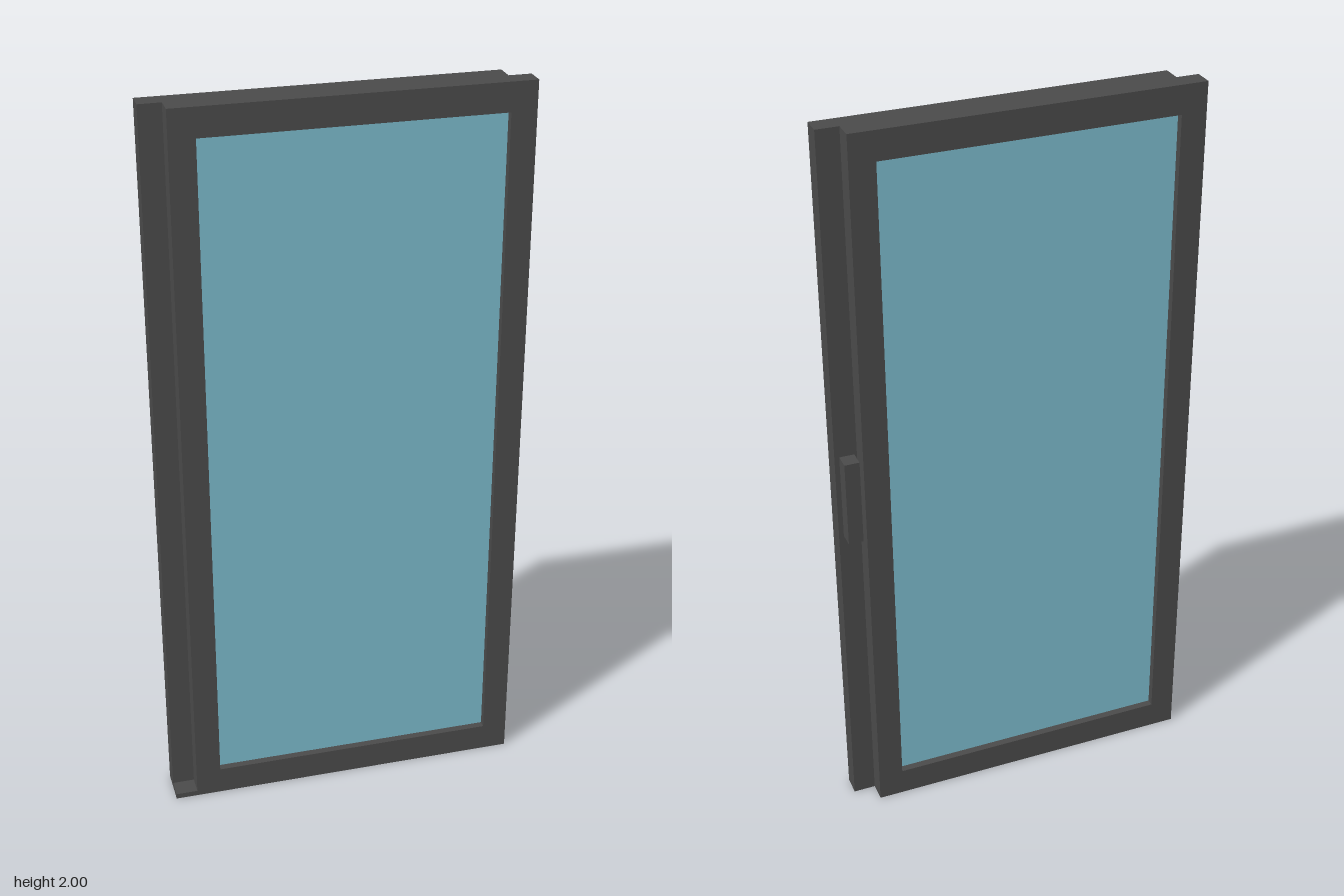
import * as THREE from 'three';

const DEPTH = 0.053;   // thickness of one sash
const HEIGHT = 2;
const SASH_W = 0.92;
const OFFSET = 0.03;   // sideways shift of each sash
const BORDER_X = 0.068;
const BORDER_Y = 0.077;

const frameMat = new THREE.MeshStandardMaterial({ color: 0x4a4a4a });
frameMat.name = 'dark grey frame';
const glassMat = new THREE.MeshStandardMaterial({ color: 0x7cbbcd });
glassMat.name = 'blue glass';

// Box given by its min and max corners
function box(name, mat, [x0, y0, z0], [x1, y1, z1]) {
  const mesh = new THREE.Mesh(new THREE.BoxGeometry(x1 - x0, y1 - y0, z1 - z0), mat);
  mesh.position.set((x0 + x1) / 2, (y0 + y1) / 2, (z0 + z1) / 2);
  mesh.name = name;
  return mesh;
}

function rectangle(PathType, x, y) {
  return new PathType([[-x, -y], [x, -y], [x, y], [-x, y]].map(p => new THREE.Vector2(...p)));
}

// A rectangular frame with a pane set into the middle of its depth
function createSash(name) {
  const sash = new THREE.Group();
  sash.name = name;
  const innerX = SASH_W / 2 - BORDER_X;
  const innerY = HEIGHT / 2 - BORDER_Y;
  const shape = rectangle(THREE.Shape, SASH_W / 2, HEIGHT / 2);
  shape.holes.push(rectangle(THREE.Path, innerX, innerY));
  const frame = new THREE.Mesh(
    new THREE.ExtrudeGeometry(shape, { depth: DEPTH, bevelEnabled: false }), frameMat);
  frame.position.set(0, HEIGHT / 2, 0);
  frame.name = 'sashFrame';
  sash.add(frame);
  sash.add(box('glassPane', glassMat,
    [-innerX, BORDER_Y, 0.02], [innerX, HEIGHT - BORDER_Y, 0.033]));
  return sash;
}

export function createModel() {
  const model = new THREE.Group();
  model.name = 'slidingWindow';

  // Two sashes back to back, shifted to opposite sides
  const front = createSash('frontSash');
  front.position.set(OFFSET, 0, 0);
  const back = createSash('backSash');
  back.position.set(-OFFSET, 0, -DEPTH);
  model.add(front, back);

  // Low sill tongue beside the front sash
  model.add(box('sill', frameMat, [-0.49, 0, 0], [-0.43, 0.015, DEPTH]));

  // Handle block on the rear of the front sash's overhang
  model.add(box('handle', frameMat, [0.437, 0.88, -0.043], [0.477, 1.12, 0]));

  return model;
}
